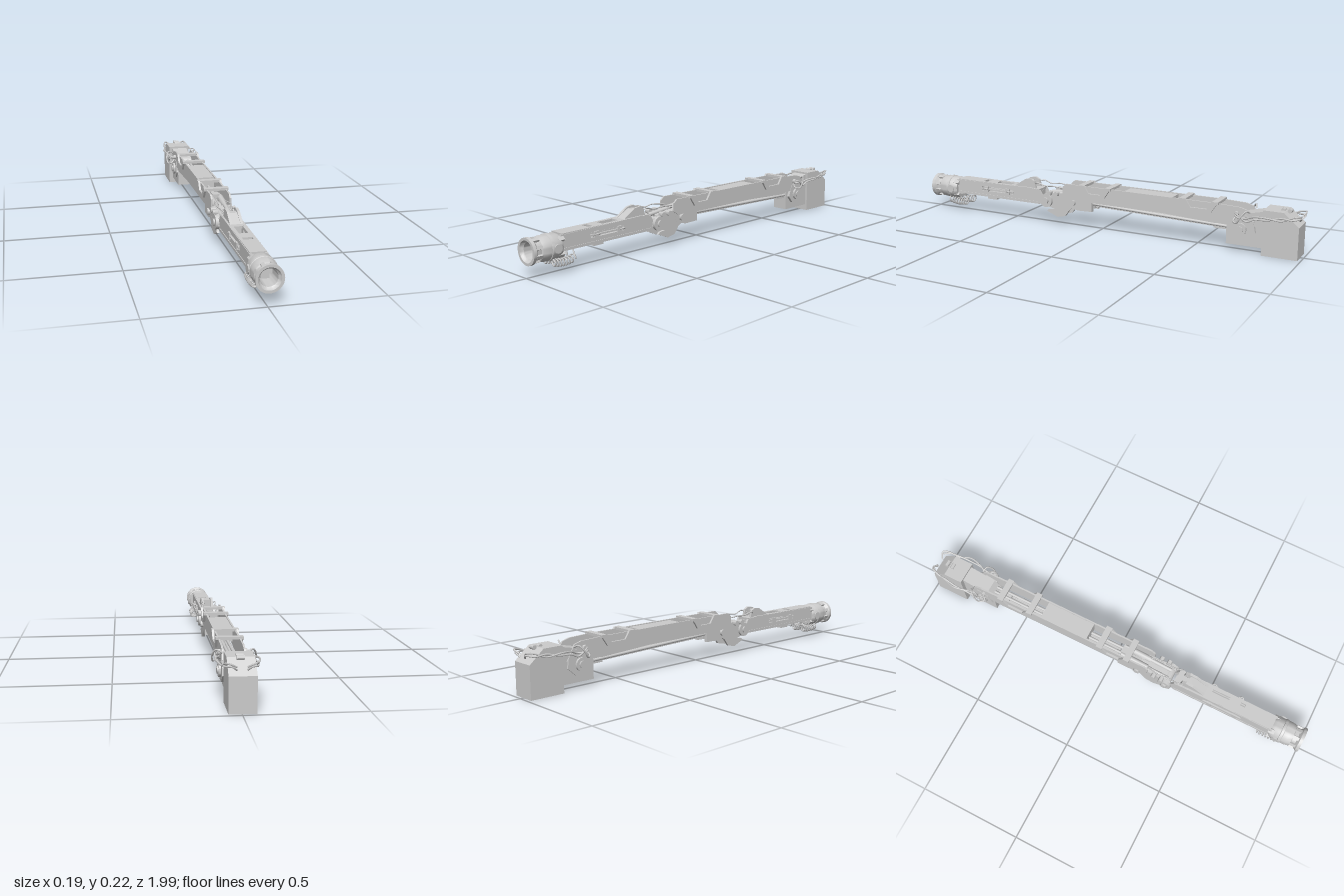
import * as THREE from 'three';
import { toCreasedNormals } from 'three/addons/utils/BufferGeometryUtils.js';

const grey = new THREE.MeshStandardMaterial({ color: 0xcccccc, side: THREE.DoubleSide });
const CX = 0.004; // arm centre line
const V = (p) => new THREE.Vector3(...p);

export function createModel() {
  const model = new THREE.Group();
  const add = (name, geo, x = 0, y = 0, z = 0) => {
    const m = new THREE.Mesh(geo, grey);
    m.name = name;
    m.position.set(x, y, z);
    model.add(m);
    return m;
  };
  const box = (name, w, h, d, x, y, z) => add(name, new THREE.BoxGeometry(w, h, d), x, y, z);
  const shape = (pts, holes = []) => {
    const s = new THREE.Shape(pts.map(([a, b]) => new THREE.Vector2(a, b)));
    for (const [a0, b0, a1, b1] of holes) {
      s.holes.push(new THREE.Path([[a0, b0], [a0, b1], [a1, b1], [a1, b0]].map((p) => new THREE.Vector2(...p))));
    }
    return s;
  };
  // extrude a [z, y] outline across x, centred on x
  const plate = (name, pts, w, x, holes) => {
    const g = new THREE.ExtrudeGeometry(shape(pts, holes), { depth: w, bevelEnabled: false });
    g.translate(0, 0, -w / 2).rotateY(-Math.PI / 2);
    return add(name, g, x);
  };
  // cylinder lying along x
  const pin = (name, r, w, x, y, z, n = 20) => add(name, toCreasedNormals(
    new THREE.CylinderGeometry(r, r, w, n).rotateZ(Math.PI / 2), 0.6), x, y, z);
  // cylinder between two points
  const rod = (name, a, b, r) => add(name, new THREE.TubeGeometry(new THREE.LineCurve3(V(a), V(b)), 1, r, 10));
  const cable = (name, pts, r = 0.004) => add(name,
    new THREE.TubeGeometry(new THREE.CatmullRomCurve3(pts.map(V)), 40, r, 6));
  // revolve a [radius, z] profile about z
  const revolve = (name, pts, n = 36) => add(name, toCreasedNormals(
    new THREE.LatheGeometry(pts.map((p) => new THREE.Vector2(...p)), n).rotateX(Math.PI / 2), 0.6), 0.007, 0.116, 0);

  // base block and shoulder
  plate('baseBlock', [[-0.985, 0], [-0.82, 0], [-0.82, 0.21], [-0.915, 0.21], [-0.985, 0.15]], 0.112, -0.003);
  plate('shoulder', [[-0.82, 0.03], [-0.65, 0.03], [-0.65, 0.12], [-0.69, 0.17], [-0.82, 0.2]], 0.08, CX - 0.004);

  // upper arm core: cover, end bridges and under rods
  plate('armCover', [[-0.38, 0.15], [-0.13, 0.15], [-0.13, 0.212], [-0.38, 0.212]], 0.086, CX - 0.002);
  for (const x of [-0.013, 0.013]) rod('innerRod', [CX + x, 0.165, -0.66], [CX + x, 0.165, 0.16], 0.007);
  box('underBeam', 0.036, 0.016, 0.68, CX, 0.112, -0.31).rotation.x = -0.025;
  for (const s of [-1, 1]) rod('underRod', [CX + s * 0.025, 0.128, 0.05], [CX + s * 0.025, 0.108, -0.66], 0.007);
  box('underBracket', 0.05, 0.035, 0.07, CX, 0.11, -0.62);

  // clamps across the upper arm
  for (const z of [-0.6, -0.44, -0.055, 0.09]) box('clamp', 0.12, 0.012, 0.03, CX, 0.216, z);

  for (const s of [-1, 1]) {
    const X = (d) => CX + s * d;
    // side wall of the upper arm
    plate('armWall', [[0.2, 0.16], [0.17, 0.14], [0.04, 0.137], [-0.34, 0.135], [-0.6, 0.122], [-0.66, 0.13],
      [-0.79, 0.13], [-0.75, 0.2], [-0.715, 0.21], [-0.6, 0.215], [0.18, 0.217], [0.2, 0.2]], 0.008, X(0.045));
    // raised trim joining each clamp pair, with slanted ends
    for (const [a, b] of [[-0.615, -0.425], [-0.07, 0.105]]) {
      plate('clampTrim', [[a, 0.222], [a + 0.03, 0.222], [a + 0.055, 0.184], [b - 0.055, 0.184], [b - 0.03, 0.222],
        [b, 0.222], [b - 0.035, 0.17], [a + 0.035, 0.17]], 0.01, X(0.054));
    }
    // shoulder pivot
    plate('shoulderPlate', [[-0.66, 0.1], [-0.69, 0.065], [-0.75, 0.065], [-0.79, 0.1], [-0.78, 0.15],
      [-0.74, 0.18], [-0.68, 0.16]], 0.014, X(0.044));
    pin('shoulderPivot', 0.03, 0.014, X(0.054), 0.11, -0.72);
    pin('shoulderBolt', 0.016, 0.022, X(0.056), 0.11, -0.72);

    // elbow bracket and hooked side plates
    plate('elbowBracket', [[0.04, 0.09], [0.12, 0.088], [0.18, 0.105], [0.19, 0.15], [0.04, 0.15]], 0.018, X(0.034));
    pin('bracketBolt', 0.016, 0.02, X(0.046), 0.125, 0.145);
    plate('elbowHook', [[0.33, 0.11], [0.32, 0.145], [0.27, 0.158], [0.2, 0.165], [0.15, 0.155], [0.14, 0.1],
      [0.165, 0.085], [0.19, 0.05], [0.235, 0.04], [0.295, 0.065], [0.285, 0.075], [0.25, 0.08], [0.29, 0.088]],
    0.012, X(0.036));
    pin('elbowPivot', 0.034, 0.016, X(0.046), 0.12, 0.295);
    pin('elbowBolt', 0.016, 0.012, X(0.056), 0.12, 0.295);
    rod('elbowPiston', [X(0.022), 0.175, 0.05], [X(0.022), 0.15, 0.3], 0.01);
    rod('pistonSleeve', [X(0.022), 0.172, 0.08], [X(0.022), 0.162, 0.19], 0.015);
    for (const z of [0.235, 0.275]) pin('elbowStud', 0.012, 0.024, X(0.047), 0.16, z, 12);

    // forearm wall with a long slot, ridges beside the slot
    plate('forearmWall', [[0.85, 0.095], [0.85, 0.165], [0.4, 0.172], [0.34, 0.165], [0.32, 0.13], [0.33, 0.095]],
      0.012, X(0.033), [[0.5, 0.124, 0.69, 0.146]]);
    for (const z of [0.53, 0.66]) box('slotClip', 0.01, 0.03, 0.025, X(0.042), 0.135, z);
    box('slotBar', 0.008, 0.007, 0.2, X(0.04), 0.135, 0.595);
    box('lowerRail', 0.012, 0.012, 0.5, X(0.036), 0.1, 0.59);

    // raised hump cheeks on the forearm
    plate('humpCheek', [[0.5, 0.165], [0.43, 0.21], [0.395, 0.215], [0.375, 0.205], [0.365, 0.165]], 0.012, X(0.024));

    // head side boss and coiled lead
    pin('headBoss', 0.02, 0.012, 0.007 + s * 0.054, 0.116, 0.878);
    const coil = [];
    const N = 7 * 10;
    for (let i = 0; i <= N; i++) {
      const t = i / N, a = t * 7 * Math.PI * 2;
      coil.push(V([0.01 + s * 0.031 + 0.017 * Math.cos(a), 0.048 + 0.03 * (t - 0.5) ** 2 + 0.016 * Math.sin(a),
        0.785 + 0.105 * t]));
    }
    coil.unshift(V([X(0.02), 0.1, 0.78]));
    coil.push(V([X(0.025), 0.085, 0.9]));
    add('coiledLead', new THREE.TubeGeometry(new THREE.CatmullRomCurve3(coil), 260, 0.0035, 5));

    // shoulder cables looping from the block to the arm
    for (let k = 0; k < 2; k++) {
      const o = k * 0.012;
      cable('shoulderCable', [[s * 0.02, 0.185 - o, -0.98], [s * (0.05 - o), 0.2 - o, -0.99], [s * 0.064, 0.195 - o, -0.96],
        [s * 0.07, 0.175 + o, -0.91], [s * (0.088 - o), 0.185 - o, -0.85], [s * 0.075, 0.18 - o, -0.79],
        [s * (0.06 + o), 0.165 - o, -0.75], [s * 0.078, 0.17 + o, -0.71], [s * 0.05, 0.18, -0.69]]);
    }
    cable('cableLoop', [[s * 0.05, 0.19, -0.76], [s * 0.075, 0.2, -0.75], [s * 0.09, 0.175, -0.73],
      [s * 0.085, 0.145, -0.71], [s * 0.07, 0.15, -0.69], [s * 0.05, 0.17, -0.7]]);
    pin('cableSocket', 0.012, 0.016, X(0.054), 0.18, -0.7, 10);
    // elbow cables
    cable('elbowCable', [[s * 0.018, 0.185, 0.39], [s * 0.035, 0.2, 0.36], [s * 0.03, 0.188, 0.31],
      [s * 0.036, 0.192, 0.26], [s * 0.026, 0.185, 0.19]], 0.003);
  }
  for (const z of [-0.93, -0.9]) pin('blockSocket', 0.01, 0.03, 0, 0.21, z, 10);

  // elbow cross members
  pin('elbowAxle', 0.024, 0.08, CX, 0.12, 0.295);
  pin('bracketAxle', 0.018, 0.07, CX, 0.125, 0.145);
  plate('elbowLink', [[0.04, 0.1], [0.31, 0.1], [0.31, 0.14], [0.15, 0.165], [0.04, 0.15]], 0.03, CX);
  box('elbowCap', 0.034, 0.02, 0.05, CX, 0.18, 0.07);

  // forearm top with two windows, floor and core
  const top = new THREE.ExtrudeGeometry(shape([[-0.036, 0.34], [0.036, 0.34], [0.036, 0.84], [-0.036, 0.84]],
    [[-0.02, 0.52, 0.02, 0.61], [-0.022, 0.665, 0.022, 0.69]]), { depth: 0.012, bevelEnabled: false });
  add('forearmTop', top.rotateX(Math.PI / 2), CX, 0.17, 0);
  plate('forearmFloor', [[0.33, 0.095], [0.85, 0.095], [0.85, 0.107], [0.33, 0.107]], 0.06, CX, );
  box('forearmNose', 0.06, 0.06, 0.13, CX, 0.13, 0.78);
  box('forearmHeel', 0.06, 0.05, 0.13, CX, 0.13, 0.41);
  box('lowerLug', 0.05, 0.02, 0.055, CX, 0.089, 0.637);
  plate('humpRamp', [[0.5, 0.165], [0.43, 0.203], [0.4, 0.203], [0.4, 0.165]], 0.04, CX);
  // side leads on one side of the forearm
  for (const z of [0.5, 0.64]) {
    cable('sideLead', [[0.04, 0.13, z], [0.058, 0.138, z + 0.01], [0.06, 0.14, z + 0.025], [0.04, 0.13, z + 0.035]], 0.003);
  }

  // tool head: body, neck, flange and open bore
  revolve('headBody', [[0.036, 0.845], [0.05, 0.845], [0.057, 0.86], [0.057, 0.93], [0.052, 0.95], [0.046, 0.953],
    [0.046, 0.972], [0.06, 0.985], [0.06, 1], [0.048, 1], [0.044, 0.99], [0.038, 0.985], [0.034, 0.9], [0.036, 0.845]]);
  revolve('headBand', [[0.056, 0.89], [0.06, 0.892], [0.06, 0.905], [0.056, 0.907]]);
  box('boreCore', 0.036, 0.05, 0.08, 0.007, 0.116, 0.89);
  box('boreBar', 0.07, 0.022, 0.05, 0.007, 0.116, 0.89);
  for (let i = 0; i < 8; i++) {
    const a = (i + 0.5) * Math.PI / 4;
    const lug = box('headLug', 0.01, 0.016, 0.03, 0.007 + 0.05 * Math.cos(a), 0.116 + 0.05 * Math.sin(a), 0.965);
    lug.rotation.z = a;
  }
  for (let i = 0; i < 4; i++) {
    const a = (i + 0.5) * Math.PI / 2;
    const tab = box('collarTab', 0.014, 0.024, 0.03, 0.007 + 0.05 * Math.cos(a), 0.116 + 0.05 * Math.sin(a), 0.85);
    tab.rotation.z = a;
  }
  return model;
}
